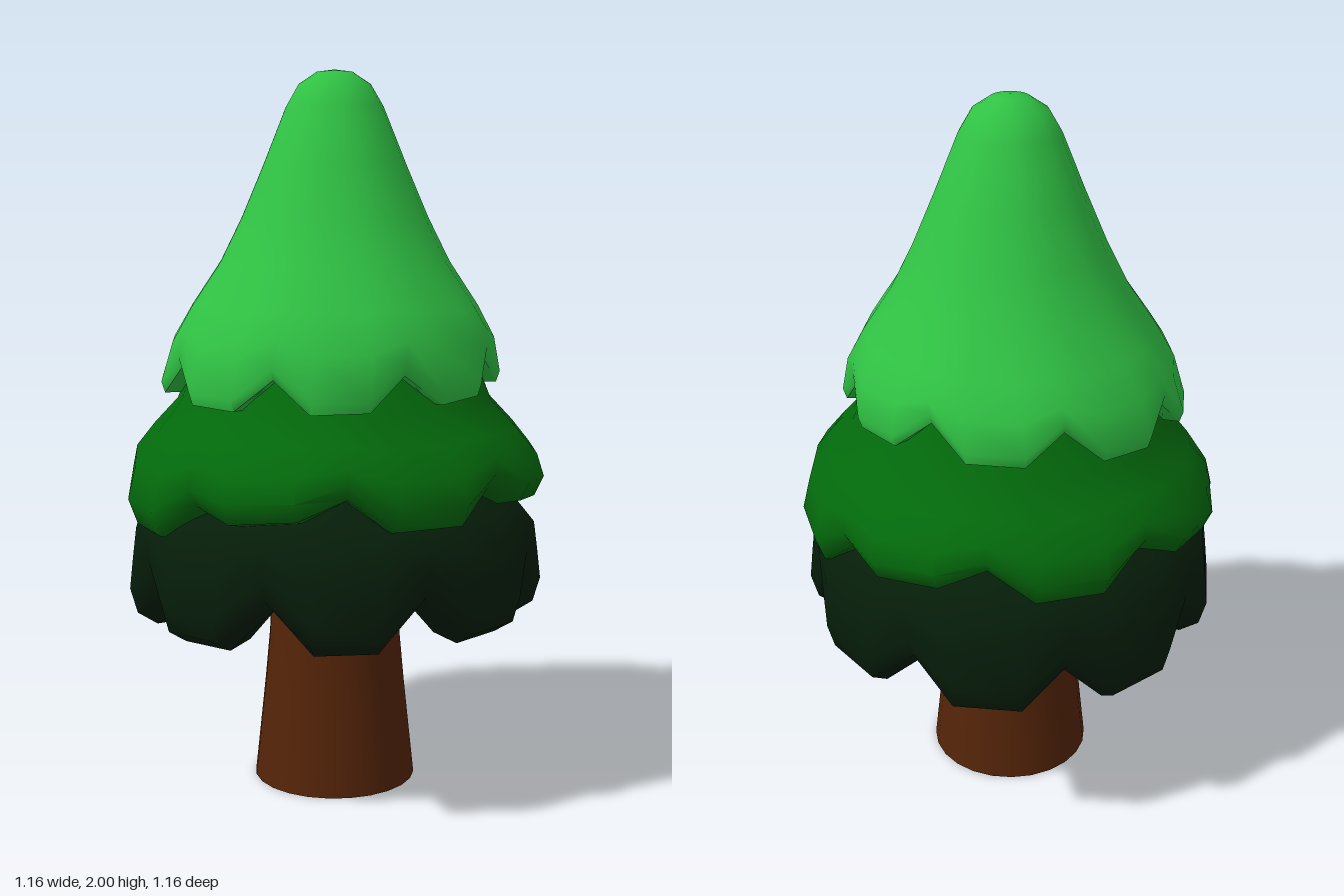
import * as THREE from 'three';
import { toCreasedNormals } from 'three/addons/utils/BufferGeometryUtils.js';

const LOBES = 8;
const STEP = (Math.PI * 2) / LOBES;
const SPOTS = [0, 0.29, 0.71]; // notch, then the two corners of a lobe

// Lathe-like skirt whose hem is cut into lobes.
// rows: [radius, y, lobe weight] from the top, round the hem and up inside.
// tilt raises the hem by direction, shift moves it sideways.
function skirt({ name, color, rows, turn, notch, tilt, shift }) {
  const n = LOBES * SPOTS.length;
  const position = [];
  const index = [];
  rows.forEach(([r, y, w], i) => {
    for (let j = 0; j < n; j++) {
      const spot = j % 3;
      const a = (Math.floor(j / 3) + SPOTS[spot] + turn) * STEP;
      const radius = r * (spot === 0 ? 1 - 0.05 * w : 1);
      const s = Math.sin(a), c = Math.cos(a);
      const lift = spot === 0 ? notch * w : 0;
      position.push(s * radius + w * shift[0], y + lift + w * tilt(s, c), c * radius + w * shift[1]);
      if (i === rows.length - 1) continue;
      const k = (j + 1) % n;
      const A = i * n + j, B = i * n + k, C = A + n, D = B + n;
      index.push(A, C, D);
      if (r > 0) index.push(A, D, B);
    }
  });
  const geometry = new THREE.BufferGeometry();
  geometry.setAttribute('position', new THREE.Float32BufferAttribute(position, 3));
  geometry.setIndex(index);
  const material = new THREE.MeshStandardMaterial({ color, side: THREE.DoubleSide });
  const mesh = new THREE.Mesh(toCreasedNormals(geometry, 1.1), material);
  mesh.name = name;
  return mesh;
}

export function createModel() {
  const tree = new THREE.Group();
  tree.name = 'tree';

  // Trunk, an open tube flaring towards the ground
  const profile = [[0.23, 0], [0.217, 0.12], [0.2, 0.28], [0.187, 0.42], [0.18, 0.58], [0.18, 0.85]];
  const trunk = new THREE.Mesh(
    new THREE.LatheGeometry(profile.map(([x, y]) => new THREE.Vector2(x, y)), 24),
    new THREE.MeshStandardMaterial({ color: 0x542408, side: THREE.DoubleSide })
  );
  trunk.name = 'trunk';
  tree.add(trunk);

  // Lowest foliage: a rounded, drooping ring
  tree.add(skirt({
    name: 'lowerFoliage', color: 0x061e0a, turn: 0, notch: 0.11, shift: [0, 0],
    tilt: (s, c) => 0.022 * c,
    rows: [
      [0.36, 0.92, 0], [0.44, 0.87, 0], [0.51, 0.82, 0], [0.565, 0.75, 0.15],
      [0.575, 0.67, 0.5], [0.585, 0.58, 0.9], [0.565, 0.51, 1], [0.51, 0.475, 1],
      [0.42, 0.485, 1], [0.38, 0.55, 0.7], [0.38, 0.67, 0.3], [0.35, 0.78, 0],
    ],
  }));

  // Middle foliage: sloping shoulders and a bulging hem, lower at the sides
  tree.add(skirt({
    name: 'middleFoliage', color: 0x036a0c, turn: 0.5, notch: 0.065, shift: [0, 0],
    tilt: (s, c) => -0.15 * s ** 4 - 0.09 * c ** 4,
    rows: [
      [0.3, 1.36, 0], [0.4, 1.2, 0], [0.44, 1.1, 0], [0.51, 1.04, 0.2],
      [0.57, 0.99, 0.5], [0.59, 0.95, 0.8], [0.565, 0.91, 1], [0.5, 0.895, 1],
      [0.44, 0.91, 0.8], [0.39, 0.95, 0.3], [0.18, 1.0, 0],
    ],
  }));

  // Top foliage: a tall cone with a blunt tip
  tree.add(skirt({
    name: 'topFoliage', color: 0x30c244, turn: 0, notch: 0.085, shift: [-0.012, -0.005],
    tilt: (s, c) => 0.022 * (s - c),
    rows: [
      [0, 2, 0], [0.05, 1.993, 0], [0.1, 1.96, 0], [0.135, 1.9, 0],
      [0.2, 1.74, 0], [0.26, 1.6, 0], [0.32, 1.48, 0], [0.4, 1.36, 0.1],
      [0.45, 1.27, 0.4], [0.475, 1.17, 1], [0.465, 1.14, 1], [0.42, 1.14, 1],
      [0.38, 1.22, 0.4], [0.25, 1.32, 0],
    ],
  }));

  return tree;
}
